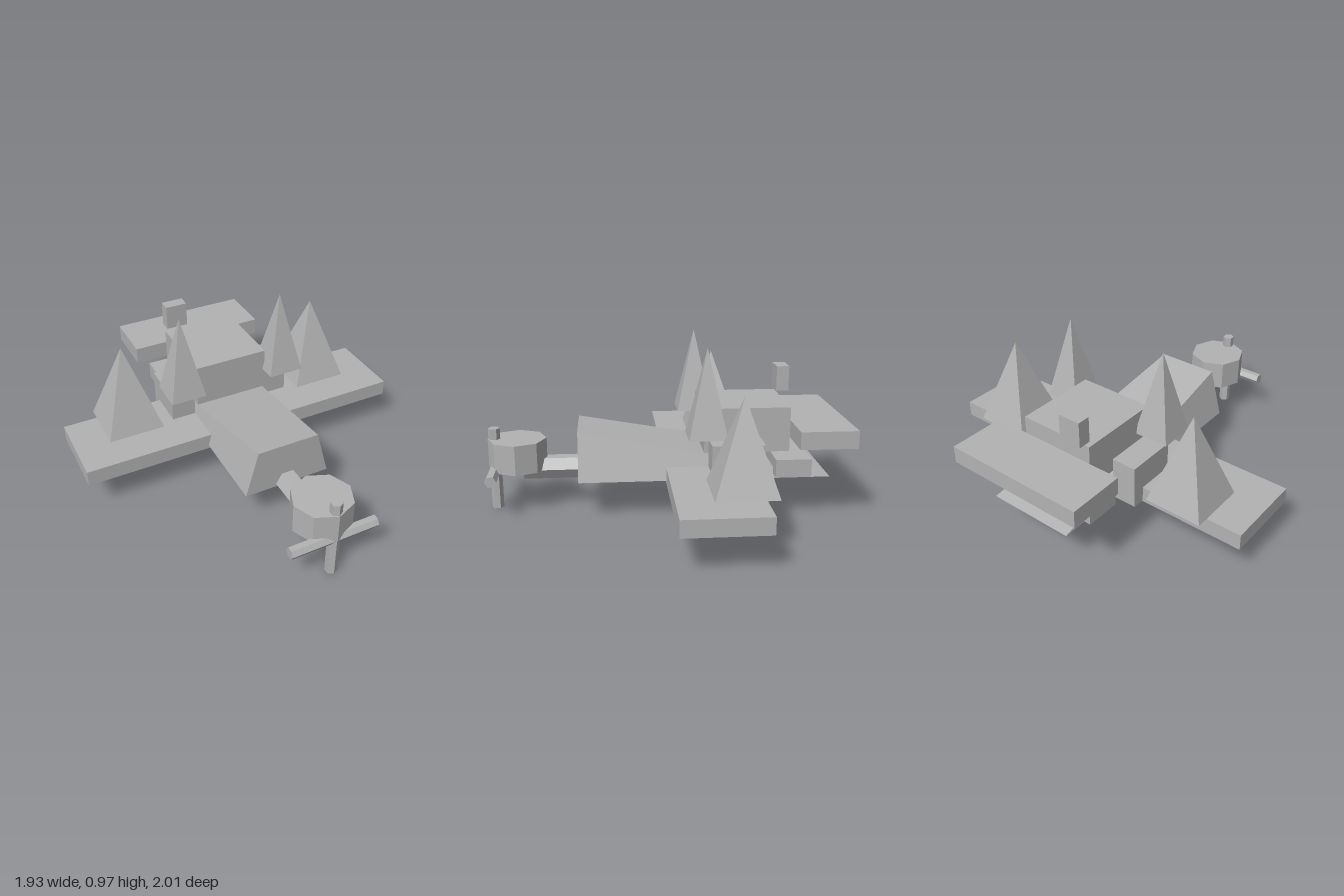
import * as THREE from 'three';

export function createModel() {
  const model = new THREE.Group();
  model.name = 'blockAircraft';
  const grey = new THREE.MeshStandardMaterial({ color: 0xb3b3b3, flatShading: true });
  grey.name = 'grey';

  function add(name, geometry, x = 0, y = 0, z = 0) {
    const mesh = new THREE.Mesh(geometry, grey);
    mesh.name = name;
    mesh.position.set(x, y, z);
    model.add(mesh);
    return mesh;
  }

  // Box given by its lower and upper limits on each axis
  function box(name, x0, x1, y0, y1, z0, z1) {
    return add(name, new THREE.BoxGeometry(x1 - x0, y1 - y0, z1 - z0),
      (x0 + x1) / 2, (y0 + y1) / 2, (z0 + z1) / 2);
  }

  // Square pyramid standing on y0
  function pyramid(name, half, y0, y1, x, z) {
    const cone = new THREE.ConeGeometry(half * Math.SQRT2, y1 - y0, 4, 1, false, Math.PI / 4);
    return add(name, cone, x, (y0 + y1) / 2, z);
  }

  // Fuselage: a wedge that is tall in front and runs out to an edge at the tail
  const wedge = new THREE.BoxGeometry(1, 1, 1);
  const p = wedge.attributes.position;
  for (let i = 0; i < p.count; i++) {
    const front = p.getZ(i) > 0;
    const raised = front && p.getY(i) > 0;
    p.setXYZ(i, Math.sign(p.getX(i)) * (raised ? 0.178 : 0.25),
      raised ? 0.487 : 0.22, front ? 0.495 : -0.9);
  }
  wedge.computeVertexNormals();
  add('fuselage', wedge);

  // Wing, cabin and tail
  box('wing', -0.967, 0.967, 0.2, 0.292, -0.438, 0.013);
  box('cabin', -0.22, 0.22, 0.365, 0.615, -0.672, -0.197);
  box('tailplane', -0.41, 0.41, 0.43, 0.528, -1, -0.685);
  box('tailBlock', -0.305, 0.305, 0.24, 0.342, -0.78, -0.582);
  box('roofBlock', -0.21, -0.08, 0.637, 0.782, -0.727, -0.655);

  // Mirrored blocks and spikes
  for (const side of [1, -1]) {
    const inner = 0.23 * side, outer = 0.372 * side;
    box('sideBlock', Math.min(inner, outer), Math.max(inner, outer), 0.206, 0.45, -0.507, -0.22);
    pyramid('wingSpike', 0.163, 0.292, 0.782, 0.607 * side, -0.343);
    pyramid('cabinSpike', 0.103, 0.492, 0.968, 0.311 * side, -0.195);
  }

  // Engine, its shaft and the crossed propeller bars
  add('engine', new THREE.CylinderGeometry(0.165, 0.165, 0.17, 8), 0, 0.325, 0.84);
  const shaft = new THREE.CylinderGeometry(0.069, 0.069, 0.315, 6, 1, false, Math.PI / 6);
  add('engineShaft', shaft, 0, 0.237, 0.65).rotation.x = Math.PI / 2;
  add('propellerUpright', new THREE.CylinderGeometry(0.033, 0.033, 0.472, 6), 0, 0.236, 0.967);
  const bar = new THREE.CylinderGeometry(0.033, 0.033, 0.502, 6);
  add('propellerCrossbar', bar, 0, 0.238, 0.967).rotation.z = Math.PI / 2;

  return model;
}
